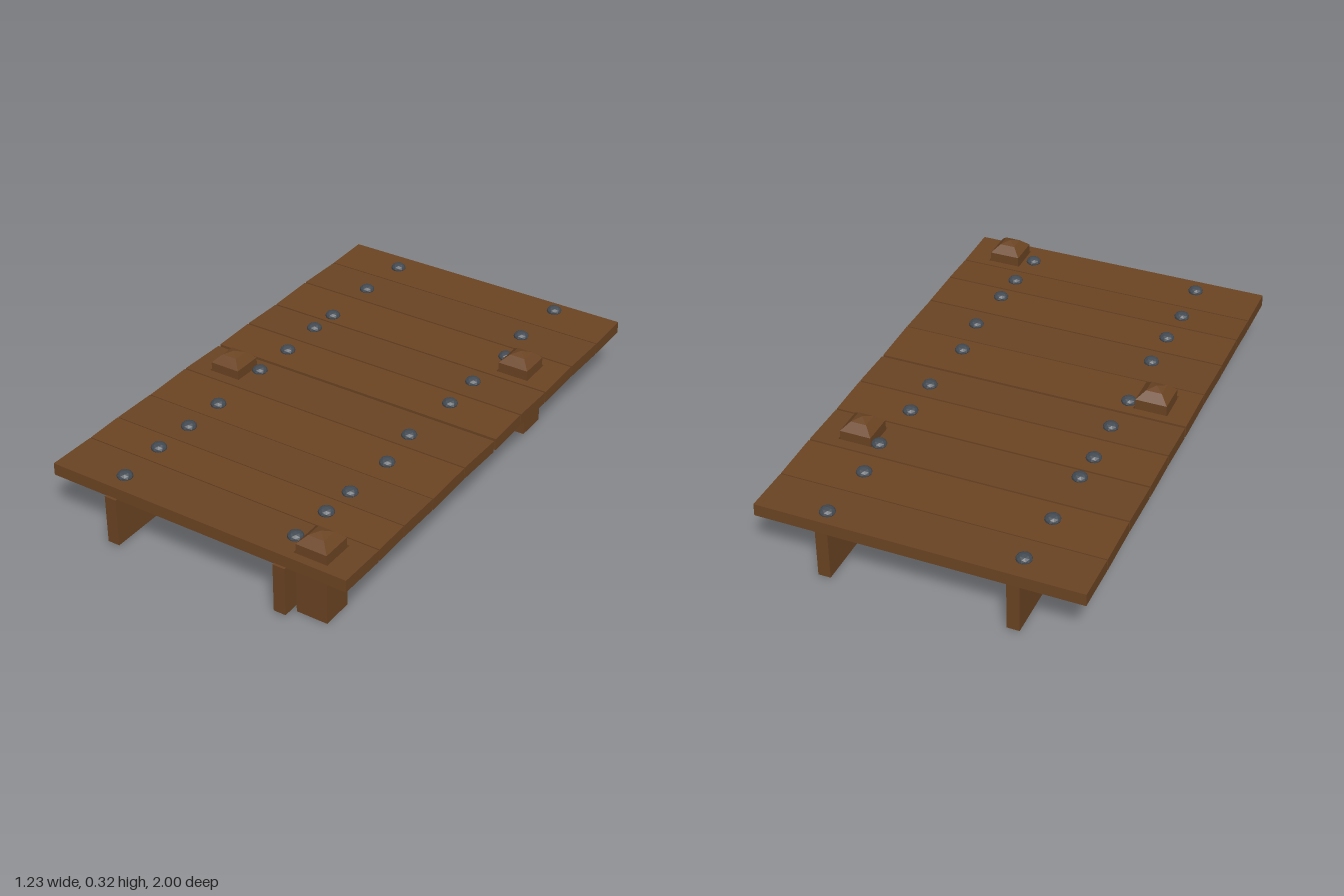
import * as THREE from 'three';

export function createModel() {
  const model = new THREE.Group();
  model.name = 'woodenDock';
  const wood = new THREE.MeshStandardMaterial({ color: 0x6b4423, flatShading: true, side: THREE.DoubleSide });
  wood.name = 'brown wood';
  const iron = new THREE.MeshStandardMaterial({ color: 0x434a52, flatShading: true });
  iron.name = 'dark iron';
  const green = new THREE.MeshStandardMaterial({ color: 0x2b3314, side: THREE.DoubleSide });
  green.name = 'dark algae';

  const add = (name, geometry, material, x, y, z) => {
    const mesh = new THREE.Mesh(geometry, material);
    mesh.name = name;
    mesh.position.set(x, y, z);
    model.add(mesh);
    return mesh;
  };

  // Square posts: [x, z]
  const posts = [[0.455, -0.48], [-0.465, 0.115], [0.455, 0.89]];

  // Planks: [back z, front z, tilt, left nail x, z, right nail x, z]
  const planks = [
    [-1.0, -0.808, 0.02, -0.36, -0.91, 0.36, -0.94],
    [-0.802, -0.595, -0.02, -0.37, -0.68, 0.345, -0.69],
    [-0.588, -0.383, 0.02, -0.37, -0.425, 0.37, -0.52],
    [-0.374, -0.19, -0.02, -0.375, -0.3, 0.355, -0.29],
    [-0.183, 0, 0.02, -0.365, -0.1, 0.36, -0.11],
    [0.014, 0.223, -0.025, -0.37, 0.08, 0.345, 0.155],
    [0.228, 0.44, 0.02, -0.36, 0.36, 0.37, 0.345],
    [0.446, 0.63, -0.01, -0.36, 0.54, 0.36, 0.57],
    [0.635, 0.785, 0.025, -0.365, 0.71, 0.355, 0.71],
    [0.791, 0.99, -0.015, -0.355, 0.915, 0.345, 0.88],
  ];
  const thick = 0.048;
  const halfWidth = 0.617;
  const nail = new THREE.IcosahedronGeometry(0.03, 1).scale(1, 0.65, 1);

  for (const [z0, z1, tilt, lx, lz, rx, rz] of planks) {
    const mid = (z0 + z1) / 2;
    const half = (z1 - z0) / 2;
    const shape = new THREE.Shape([
      new THREE.Vector2(-halfWidth, -half), new THREE.Vector2(halfWidth, -half),
      new THREE.Vector2(halfWidth, half), new THREE.Vector2(-halfWidth, half),
    ]);
    // Opening around any post that passes through this plank
    for (const [px, pz] of posts) {
      if (pz < z0 || pz > z1) continue;
      const h = 0.067;
      const cy = -(pz - mid);
      shape.holes.push(new THREE.Path([
        new THREE.Vector2(px - h, cy - h), new THREE.Vector2(px - h, cy + h),
        new THREE.Vector2(px + h, cy + h), new THREE.Vector2(px + h, cy - h),
      ]));
    }
    const board = new THREE.ExtrudeGeometry(shape, { depth: thick, bevelEnabled: false });
    board.translate(0, 0, -thick / 2).rotateX(-Math.PI / 2);
    const plank = add('plank', board, wood, 0, 0.224, mid);
    plank.rotation.x = tilt;
    // Nail heads
    for (const [x, z] of [[lx, lz], [rx, rz]]) {
      add('nailHead', nail, iron, x, 0.252 - tilt * (z - mid), z);
    }
  }

  // Long support beams
  for (const side of [-1, 1]) {
    add('supportBeam', new THREE.BoxGeometry(0.048, 0.194, 2), wood, side * 0.357, 0.107, 0);
  }

  // Hollow posts with stepped pyramid tops
  const r = 0.0615 * Math.SQRT2;
  const profile = [[r, 0], [r, 0.283], [r / 2, 0.313], [0, 0.324]].map(([x, y]) => new THREE.Vector2(x, y));
  const postGeometry = new THREE.LatheGeometry(profile, 4).rotateY(Math.PI / 4);
  for (const [x, z] of posts) add('post', postGeometry, wood, x, 0, z);

  // Algae patch on the inner face of one beam
  const patch = new THREE.Shape([[-0.025, 0.02], [0.025, 0.02], [0.05, 0.11], [0.06, 0.19], [-0.06, 0.19], [-0.055, 0.1]]
    .map(([x, y]) => new THREE.Vector2(x, y)));
  add('algaePatch', new THREE.ShapeGeometry(patch).rotateY(Math.PI / 2), green, -0.33, 0, 0.14);

  return model;
}
